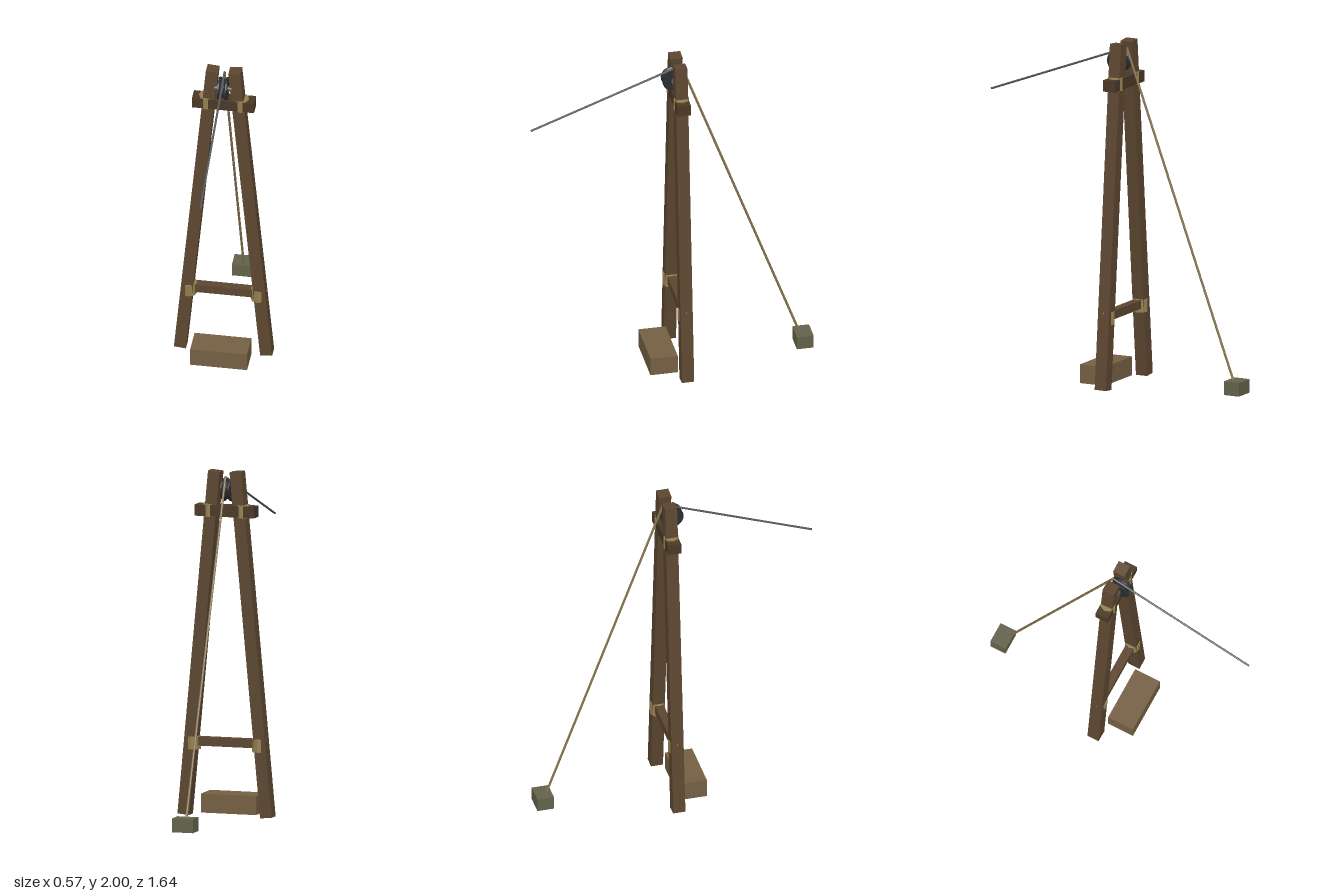
import * as THREE from 'three';

const paint = (color) => new THREE.MeshStandardMaterial({ color, flatShading: true });
const wood = paint(0x5c4630);
const darkWood = paint(0x4a3826);
const plank = paint(0x755f43);
const lashing = paint(0x94804f);
const rope = paint(0x86734e);
const stone = paint(0x62624b);
const iron = paint(0x2b2d30);
const steel = paint(0x54575a);

const FRAME_Z = -0.04;

export function createModel() {
  const model = new THREE.Group();
  model.name = 'pulleyFrame';

  const add = (name, geometry, material, x = 0, y = 0, z = 0) => {
    const mesh = new THREE.Mesh(geometry, material);
    mesh.name = name;
    mesh.position.set(x, y, z);
    model.add(mesh);
    return mesh;
  };

  // Stretch a geometry's y axis between two points
  const span = (mesh, a, b) => {
    mesh.position.copy(a).lerp(b, 0.5);
    mesh.quaternion.setFromUnitVectors(new THREE.Vector3(0, 1, 0), b.clone().sub(a).normalize());
  };
  const line = (name, a, b, radius, material) =>
    span(add(name, new THREE.CylinderGeometry(radius, radius, a.distanceTo(b), 8), material), a, b);

  // Leaning legs and the lashings at both crossbars
  for (const [side, s] of [['left', 1], ['right', -1]]) {
    const foot = new THREE.Vector3(s * 0.25, 0.006, FRAME_Z);
    const head = new THREE.Vector3(s * 0.065, 1.997, FRAME_Z);
    span(add(`${side}Leg`, new THREE.BoxGeometry(0.07, foot.distanceTo(head), 0.072), wood), foot, head);
    add(`${side}UpperLashing`, new THREE.CylinderGeometry(0.045, 0.045, 0.075, 8), lashing, s * 0.1, 1.77, FRAME_Z);
    add(`${side}LowerLashing`, new THREE.CylinderGeometry(0.045, 0.045, 0.075, 8), lashing, s * 0.2, 0.42, FRAME_Z);
  }

  // Crossbars
  add('upperCrossbar', new THREE.BoxGeometry(0.36, 0.065, 0.078), darkWood, 0, 1.768, FRAME_Z);
  add('lowerCrossbar', new THREE.BoxGeometry(0.4, 0.05, 0.05), wood, 0, 0.43, FRAME_Z);

  // Grooved pulley wheel on its axle
  const profile = [[0, -0.027], [0.066, -0.027], [0.066, -0.018], [0.055, -0.007],
    [0.055, 0.007], [0.066, 0.018], [0.066, 0.027], [0, 0.027]].map(([r, y]) => new THREE.Vector2(r, y));
  add('pulleyWheel', new THREE.LatheGeometry(profile, 24), iron, 0, 1.885, -0.012).rotation.z = Math.PI / 2;
  add('axle', new THREE.CylinderGeometry(0.016, 0.016, 0.1, 12), steel, 0, 1.885, -0.012).rotation.z = Math.PI / 2;

  // Lines running from the pulley to the front and to the weight behind
  const peak = new THREE.Vector3(0, 1.965, -0.06);
  line('frontCable', peak, new THREE.Vector3(0, 1.637, 0.82), 0.006, steel);
  line('weightRope', peak, new THREE.Vector3(0, 0.06, -0.762), 0.007, rope);

  // Foot block and counterweight
  add('footBlock', new THREE.BoxGeometry(0.33, 0.11, 0.16), plank, 0, 0.065, 0.075);
  add('counterweight', new THREE.BoxGeometry(0.126, 0.08, 0.098), stone, 0, 0.05, -0.773);

  return model;
}
